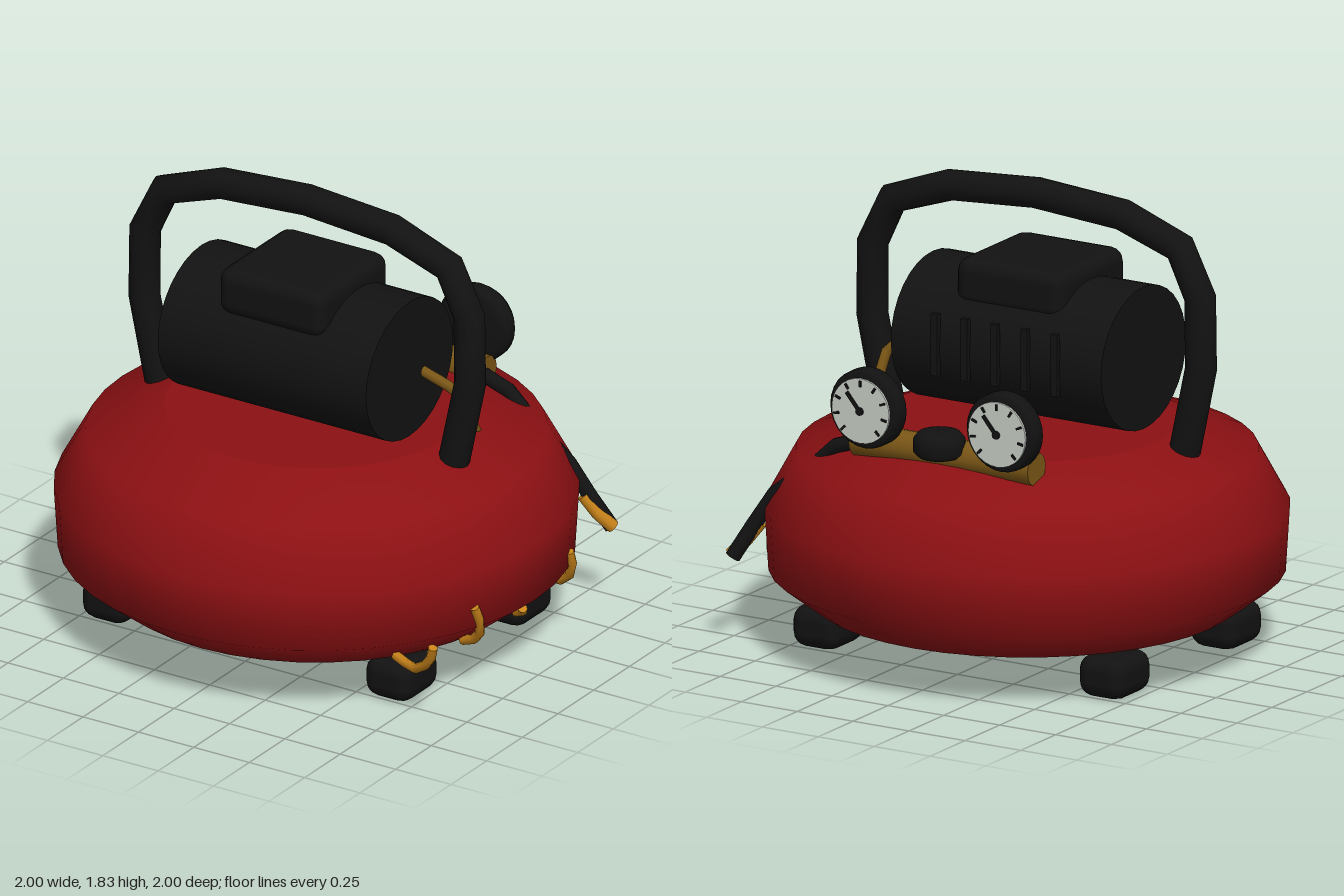
import * as THREE from 'three';
import { RoundedBoxGeometry } from 'three/addons/geometries/RoundedBoxGeometry.js';

const mat = (name, color) => {
  const m = new THREE.MeshStandardMaterial({ color });
  m.name = name;
  return m;
};
const V = (p) => new THREE.Vector3(...p);

export function createModel() {
  const model = new THREE.Group();
  model.name = 'airCompressor';
  const red = mat('tankRed', 0x8c1013);
  const black = mat('blackPlastic', 0x121212);
  const brass = mat('brass', 0x7a5616);
  const orange = mat('hoseOrange', 0xc8831a);
  const white = mat('dialWhite', 0xc8cec6);

  const add = (name, geo, material, pos = [0, 0, 0], parent = model) => {
    const mesh = new THREE.Mesh(geo, material);
    mesh.name = name;
    mesh.position.set(...pos);
    parent.add(mesh);
    return mesh;
  };
  const lathe = (profile, sides) =>
    new THREE.LatheGeometry(profile.map(([r, y]) => new THREE.Vector2(r, y)), sides);

  // Tube with one ring per path point and a flat cap at each end
  const tube = (name, points, radius, material, sides = 10) => {
    const curve = new THREE.CatmullRomCurve3(points.map(V));
    curve.getPointAt = (t, target) => curve.getPoint(t, target);
    curve.getTangentAt = (t, target) => curve.getTangent(t, target);
    const group = new THREE.Group();
    group.name = name;
    add(name + 'Body', new THREE.TubeGeometry(curve, points.length - 1, radius, sides), material, [0, 0, 0], group);
    for (const t of [0, 1]) {
      const dir = curve.getTangent(t).multiplyScalar(t ? 1 : -1);
      const cap = add(name + 'Cap', new THREE.CircleGeometry(radius, sides), material, curve.getPoint(t).toArray(), group);
      cap.quaternion.setFromUnitVectors(new THREE.Vector3(0, 0, 1), dir);
    }
    model.add(group);
    return group;
  };

  // Pancake tank: smooth side with flat lids
  add('tankSide', lathe([[0.57, 0.13], [0.815, 0.18], [0.985, 0.31], [1, 0.555], [0.88, 0.775], [0.58, 0.885]], 40), red);
  add('tankTop', lathe([[0.58, 0.885], [0, 0.885]], 40), red);
  add('tankBottom', lathe([[0, 0.13], [0.57, 0.13]], 40), red);

  // Rubber feet
  for (const x of [-0.64, 0.64])
    for (const z of [-0.4, 0.4])
      add('foot', new RoundedBoxGeometry(0.21, 0.165, 0.25, 2, 0.06), black, [x, 0.0825, z]);

  // Carrying handle
  const half = [[0.66, 0.83], [0.735, 1.18], [0.732, 1.46], [0.642, 1.645], [0.385, 1.737]];
  const arch = [...half.map(([x, y]) => [-x, y, 0.067]), [0, 1.765, 0.067],
    ...half.slice().reverse().map(([x, y]) => [x, y, 0.067])];
  tube('handle', arch, 0.061, black, 12);

  // Motor housing with top cover and rear cooling ribs
  const motor = new THREE.CylinderGeometry(0.305, 0.305, 0.94, 32);
  motor.rotateZ(Math.PI / 2).scale(1, 0.92, 1);
  add('motorHousing', motor, black, [0, 1.18, 0.08]);
  add('motorCover', new RoundedBoxGeometry(0.48, 0.195, 0.49, 2, 0.055), black, [0, 1.428, 0.095]);
  for (let i = -2; i <= 2; i++)
    add('coolingRib', new THREE.BoxGeometry(0.03, 0.245, 0.022), black, [i * 0.134, 1.197, -0.229]);

  // Outlet pipe from motor to tank
  tube('outletPipe', [[0.44, 1.14, -0.02], [0.58, 1.095, -0.025], [0.605, 1.07, -0.04], [0.605, 0.85, -0.18]], 0.021, brass, 8);

  // Manifold with regulator knob
  const manifold = new THREE.CylinderGeometry(0.065, 0.065, 0.8, 16);
  manifold.rotateZ(Math.PI / 2);
  add('manifold', manifold, brass, [0, 0.89, -0.575]);
  add('regulatorKnob', lathe([[0, 0.895], [0.08, 0.895], [0.1, 0.915], [0.1, 0.965], [0.08, 0.99], [0, 0.99]], 20), black, [0, 0, -0.63]);

  // Pressure gauges facing the rear; local y of the lathe becomes -z
  for (const x of [-0.305, 0.305]) {
    const gauge = new THREE.Group();
    gauge.name = 'gauge';
    gauge.position.set(x, 1.045, -0.6);
    model.add(gauge);
    const body = lathe([[0, 0], [0.13, 0], [0.155, 0.025], [0.155, 0.075], [0.138, 0.1], [0, 0.1]], 28);
    add('gaugeBody', body.rotateX(-Math.PI / 2), black, [0, 0, 0], gauge);
    const dial = new THREE.CylinderGeometry(0.128, 0.128, 0.009, 28);
    add('gaugeDial', dial.rotateX(-Math.PI / 2), white, [0, 0, -0.104], gauge);
    for (let i = 0; i < 9; i++) {
      const a = (i / 8 - 0.5) * Math.PI * 1.5;
      const tick = add('gaugeTick', new THREE.BoxGeometry(0.009, 0.024, 0.006), black,
        [-Math.sin(a) * 0.108, Math.cos(a) * 0.108, -0.111], gauge);
      tick.rotation.z = a;
    }
    const needle = new THREE.BoxGeometry(0.014, 0.1, 0.007).translate(0, 0.04, 0);
    add('gaugeNeedle', needle, black, [0, 0, -0.115], gauge).rotation.z = -0.7;
    const hub = new THREE.CylinderGeometry(0.016, 0.016, 0.009, 12);
    add('gaugeHub', hub.rotateX(-Math.PI / 2), black, [0, 0, -0.115], gauge);
  }

  // Supply hose: dips into the tank and comes out lower on the side
  tube('supplyHose', [[0.38, 0.885, -0.565], [0.5, 0.845, -0.565], [0.6, 0.75, -0.565], [0.68, 0.69, -0.56],
    [0.78, 0.61, -0.56], [0.86, 0.48, -0.585], [0.925, 0.355, -0.63]], 0.03, black);
  tube('hoseCore', [[0.84, 0.49, -0.565], [0.89, 0.42, -0.585], [0.938, 0.36, -0.622]], 0.026, orange);

  // Coiled hose loops showing through the tank side
  const loops = [
    [[0.69, 0.21, 0.52], [0.75, 0.2, 0.54], [0.82, 0.21, 0.58], [0.88, 0.25, 0.605], [0.915, 0.295, 0.62], [0.93, 0.345, 0.63]],
    [[0.93, 0.4, 0.34], [0.935, 0.34, 0.315], [0.92, 0.27, 0.285], [0.88, 0.225, 0.265], [0.82, 0.2, 0.25]],
    [[0.94, 0.38, -0.31], [0.94, 0.32, -0.33], [0.915, 0.26, -0.35], [0.86, 0.215, -0.375], [0.78, 0.2, -0.4]],
    [[0.91, 0.245, -0.03], [0.9, 0.225, -0.045], [0.86, 0.205, -0.06]],
  ];
  for (const loop of loops) tube('hoseLoop', loop, 0.019, orange, 8);

  return model;
}
